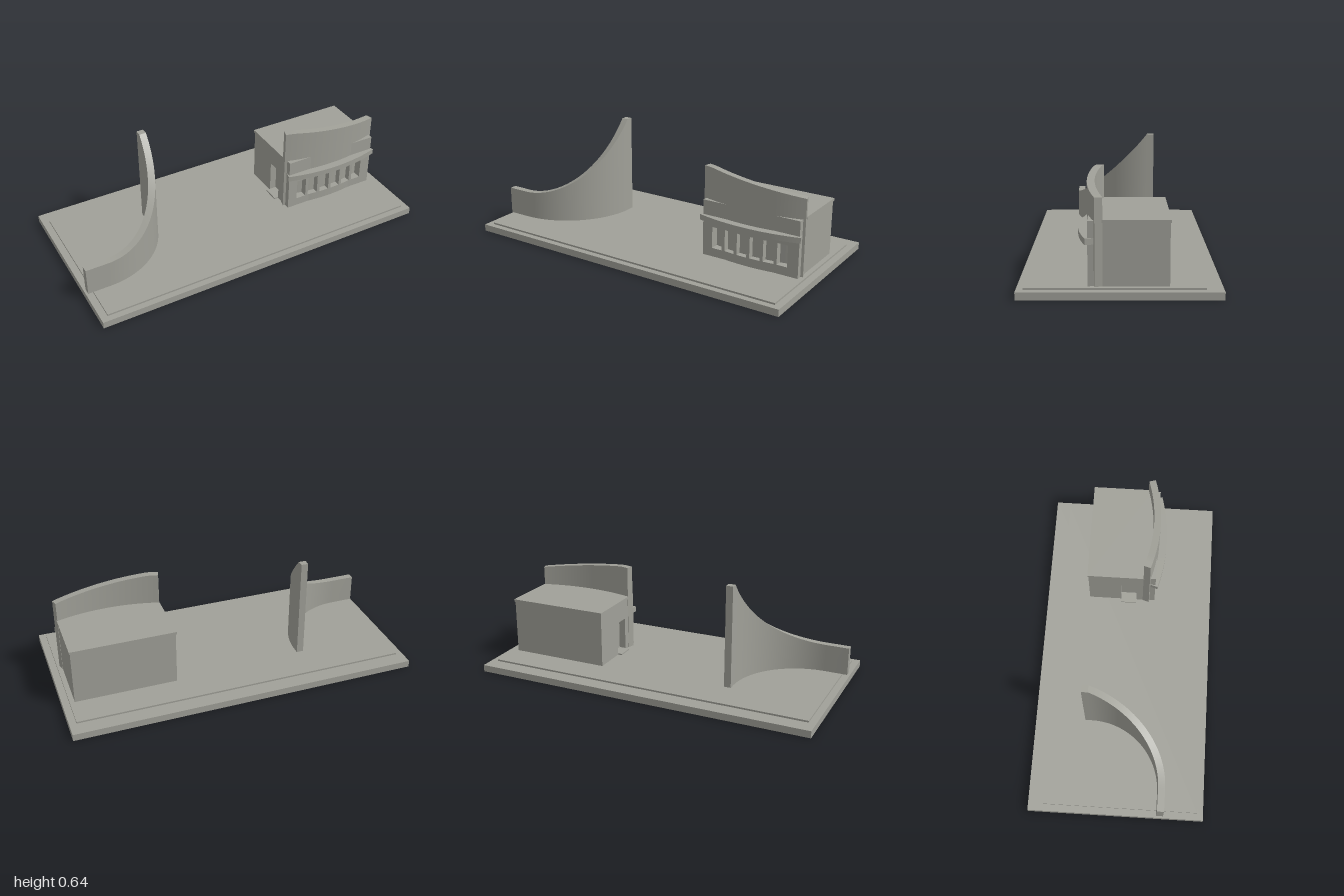
import * as THREE from 'three';
import { toCreasedNormals } from 'three/addons/utils/BufferGeometryUtils.js';

const CX = 0.638, CZ = -0.903; // centre of the facade arcs
const FLOOR = 0.05;

// Upright wall swept through stations { in: [x, z], out: [x, z], top }
function sweptWall(stations, y0) {
  const rings = stations.map(s => [
    [s.in[0], y0, s.in[1]], [s.out[0], y0, s.out[1]],
    [s.out[0], s.top, s.out[1]], [s.in[0], s.top, s.in[1]],
  ]);
  const pos = [];
  const quad = (a, b, c, d) => pos.push(...a, ...b, ...c, ...a, ...c, ...d);
  for (let i = 0; i < rings.length - 1; i++) {
    const p = rings[i], q = rings[i + 1];
    for (let k = 0; k < 4; k++) {
      const n = (k + 1) % 4;
      quad(p[k], q[k], q[n], p[n]);
    }
  }
  const f = rings[0], l = rings[rings.length - 1];
  quad(f[0], f[1], f[2], f[3]);
  quad(l[0], l[3], l[2], l[1]);
  const g = new THREE.BufferGeometry();
  g.setAttribute('position', new THREE.Float32BufferAttribute(pos, 3));
  g.computeVertexNormals();
  return toCreasedNormals(g, 0.5);
}

const arcZ = (x, r) => CZ + Math.sqrt(r * r - (x - CX) ** 2);

// Piece of a facade arc between two x positions; the outermost ends are cut radially
function facadeArc(x0, x1, r0, r1, y0, top) {
  const n = Math.max(2, Math.ceil((x1 - x0) / 0.025));
  const stations = [];
  for (let i = 0; i <= n; i++) {
    const x = x0 + (x1 - x0) * i / n;
    const xi = Math.abs(x - CX) > 0.295 ? CX + (x - CX) * r0 / r1 : x;
    stations.push({ in: [xi, arcZ(xi, r0)], out: [x, arcZ(x, r1)], top: typeof top === 'function' ? top(x) : top });
  }
  return sweptWall(stations, y0);
}

// Hall floor plan with a curved front, optionally notched for the doorway
function hallSlab(x0, x1, zBack, y0, y1, notch) {
  const s = new THREE.Shape();
  s.moveTo(x0, -zBack);
  if (notch) {
    s.lineTo(x0, 0.05);
    s.lineTo(x0 + 0.04, 0.05);
    s.lineTo(x0 + 0.04, -0.045);
    s.lineTo(x0, -0.045);
  }
  for (let i = 0; i <= 24; i++) {
    const x = x0 + (x1 - x0) * i / 24;
    s.lineTo(x, -arcZ(x, 1.035));
  }
  s.lineTo(x1, -zBack);
  s.closePath();
  const g = new THREE.ExtrudeGeometry(s, { depth: y1 - y0, bevelEnabled: false });
  g.rotateX(-Math.PI / 2).translate(0, y0, 0);
  return g;
}

function box(x0, x1, y0, y1, z0, z1) {
  return new THREE.BoxGeometry(x1 - x0, y1 - y0, z1 - z0)
    .translate((x0 + x1) / 2, (y0 + y1) / 2, (z0 + z1) / 2);
}

export function createModel() {
  const model = new THREE.Group();
  const stone = new THREE.MeshStandardMaterial({ color: 0xa0a098 });
  stone.name = 'grey stone';
  const add = (name, geometry, parent = model) => {
    const m = new THREE.Mesh(geometry, stone);
    m.name = name;
    parent.add(m);
  };

  // Ground
  add('base', box(-1, 1, 0, 0.04, -0.507, 0.505));
  add('plaza', box(-0.96, 0.96, 0.04, FLOOR, -0.42, 0.47));

  // Free-standing quarter-round wall, rising toward the back
  const ax = -0.86, az = -0.175, rIn = 0.41, rOut = 0.45;
  const sweep = [{ in: [-0.99, az + rIn], out: [-0.99, az + rOut], top: 0.212 }];
  for (let i = 0; i <= 40; i++) {
    const t = Math.PI / 2 * (1 - i / 40), c = Math.cos(t), s = Math.sin(t);
    const d = rOut * (1 - s);
    sweep.push({
      in: [ax + rIn * c, az + rIn * s], out: [ax + rOut * c, az + rOut * s],
      top: 0.212 + 0.756 * d + 0.43 * d * d,
    });
  }
  const peak = sweep[sweep.length - 1].top;
  sweep.push({ in: [ax + rIn, -0.213], out: [ax + rOut, -0.213], top: peak });
  add('sweepingWall', sweptWall(sweep, FLOOR));

  // Hall behind the facade, with a recessed side doorway
  const hall = new THREE.Group();
  hall.name = 'hall';
  model.add(hall);
  add('hallLower', hallSlab(0.345, 0.932, -0.245, FLOOR, 0.25, true), hall);
  add('hallUpper', hallSlab(0.345, 0.932, -0.245, 0.25, 0.365, false), hall);
  add('roof', hallSlab(0.34, 0.937, -0.25, 0.365, 0.38, false), hall);
  add('doorStep', box(0.32, 0.385, FLOOR, 0.058, -0.05, 0.045), hall);

  // Curved facade: sill, piers between the windows, tall sloping upper wall
  const facade = new THREE.Group();
  facade.name = 'facade';
  model.add(facade);
  const L = 0.331, R = 0.945, R0 = 1.03, R1 = 1.07;
  const sillY = 0.1, headY = 0.225;
  const windows = [];
  for (let i = 0; i < 6; i++) windows.push([0.405 + i * 0.08, 0.467 + i * 0.08]);
  add('facadeSill', facadeArc(L, R, R0, R1, FLOOR, sillY), facade);
  const edges = [L, ...windows.flat(), R];
  for (let i = 0; i < edges.length; i += 2)
    add('facadePier', facadeArc(edges[i], edges[i + 1], R0, R1, sillY, headY), facade);
  const slope = x => 0.56 - 0.07 * Math.max(0, (x - 0.39) / (R - 0.39));
  add('facadeUpperWall', facadeArc(L, R, R0, R1, headY, slope), facade);
  add('ledge', facadeArc(0.333, 0.943, 1.06, 1.115, 0.258, 0.29), facade);

  // Flat front panel pierced by the same windows
  const rect = (p, x0, x1, y0, y1) => {
    p.moveTo(x0, y0);
    p.lineTo(x1, y0);
    p.lineTo(x1, y1);
    p.lineTo(x0, y1);
    p.closePath();
    return p;
  };
  const panel = rect(new THREE.Shape(), 0.346, 0.931, FLOOR, 0.375);
  for (const [a, b] of windows) panel.holes.push(rect(new THREE.Path(), a, b, sillY, headY));
  const panelGeo = new THREE.ExtrudeGeometry(panel, { depth: 0.035, bevelEnabled: false });
  add('frontPanel', panelGeo.translate(0, 0, 0.122), facade);

  return model;
}
